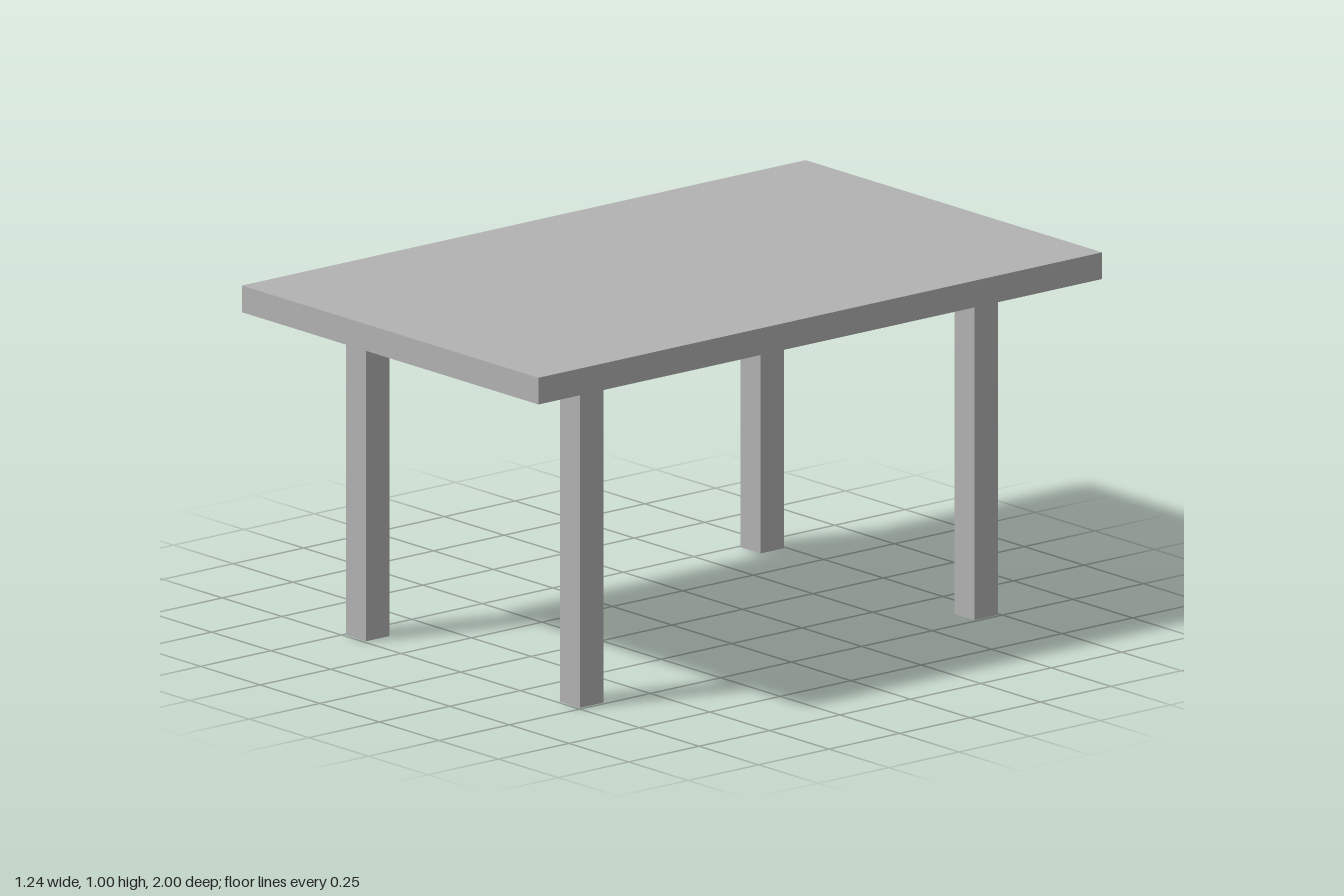
import * as THREE from 'three';

export function createModel() {
  const model = new THREE.Group();
  model.name = 'table';

  const grey = new THREE.MeshStandardMaterial({ color: 0xb2b2b2, side: THREE.DoubleSide });
  grey.name = 'grey';

  // Tabletop slab
  const topHeight = 1, topThickness = 0.075;
  const legHeight = topHeight - topThickness;
  const tabletop = new THREE.Mesh(new THREE.BoxGeometry(1.244, topThickness, 2), grey);
  tabletop.name = 'tabletop';
  tabletop.position.y = topHeight - topThickness / 2;
  model.add(tabletop);

  // Square hollow legs, open at the ends, with flat sides
  const legWidth = 0.083;
  const radius = legWidth / Math.SQRT2;
  const legGeometry = new THREE.CylinderGeometry(radius, radius, legHeight, 4, 1, true, Math.PI / 4)
    .toNonIndexed();
  legGeometry.computeVertexNormals();

  for (const [zName, z] of [['front', 0.7], ['back', -0.7]]) {
    for (const [xName, x] of [['Left', 0.449], ['Right', -0.449]]) {
      const leg = new THREE.Mesh(legGeometry, grey);
      leg.name = `${zName}${xName}Leg`;
      leg.position.set(x, legHeight / 2, z);
      model.add(leg);
    }
  }

  return model;
}
